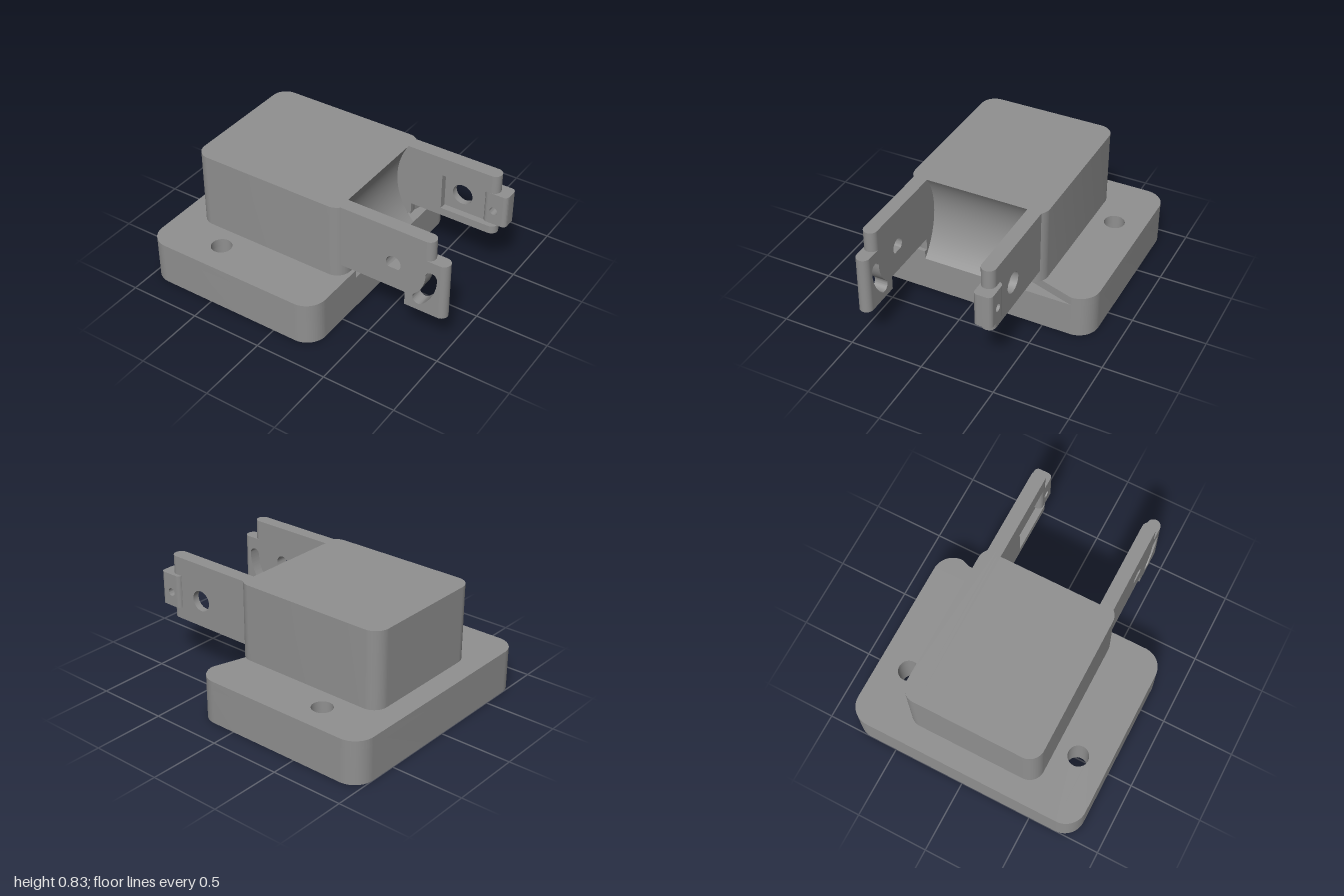
import * as THREE from 'three';
import { toCreasedNormals } from 'three/addons/utils/BufferGeometryUtils.js';

export function createModel() {
  const model = new THREE.Group();
  const grey = new THREE.MeshStandardMaterial({ color: 0x909090 });
  grey.name = 'grey';
  const PI = Math.PI;
  const pivot = { x: 0.635, y: 0.57 };

  function add(name, geometry) {
    const mesh = new THREE.Mesh(geometry, grey);
    mesh.name = name;
    model.add(mesh);
  }
  const extrude = (shape, depth) =>
    new THREE.ExtrudeGeometry(shape, { depth, bevelEnabled: false, curveSegments: 16 });
  // Plan outline (x, -z) raised from y0 to y1
  function upright(name, shape, y0, y1) {
    const g = extrude(shape, y1 - y0).rotateX(-PI / 2).translate(0, y0, 0);
    add(name, toCreasedNormals(g, 0.5));
  }
  // Side outline (x, y) running from z0 to z1
  function sideways(name, shape, z0, z1) {
    add(name, toCreasedNormals(extrude(shape, z1 - z0).translate(0, 0, z0), 0.5));
  }
  const polygon = (pts) => new THREE.Shape(pts.map(([x, y]) => new THREE.Vector2(x, y)));
  function circle(x, y, r) {
    const p = new THREE.Path();
    p.absarc(x, y, r, 0, PI * 2, false);
    return p;
  }
  function roundedRect(x0, x1, v0, v1, r) {
    const s = new THREE.Shape();
    s.absarc(x1 - r, v1 - r, r, 0, PI / 2);
    s.absarc(x0 + r, v1 - r, r, PI / 2, PI);
    s.absarc(x0 + r, v0 + r, r, PI, PI * 1.5);
    s.absarc(x1 - r, v0 + r, r, PI * 1.5, PI * 2);
    return s;
  }
  // Rounded vertical end of an arm
  function roundEnd(name, x, z, r, y0, y1, start = 0, sweep = PI) {
    const g = new THREE.CylinderGeometry(r, r, y1 - y0, 20, 1, false, start, sweep);
    add(name, g.translate(x, (y0 + y1) / 2, z));
  }

  // Base plate: full slab below, notched slab on top
  const screwHoles = () => [1, -1].map((s) => circle(-0.555, s * 0.625, 0.07));
  const lower = roundedRect(-1, 0.305, -0.83, 0.83, 0.14);
  lower.holes = screwHoles();
  upright('baseLower', lower, 0, 0.24);

  const upper = new THREE.Shape();
  upper.moveTo(0.305, 0.352);
  upper.absarc(0.165, 0.69, 0.14, 0, PI / 2);
  upper.absarc(-0.86, 0.69, 0.14, PI / 2, PI);
  upper.absarc(-0.86, -0.69, 0.14, PI, PI * 1.5);
  upper.absarc(0.165, -0.69, 0.14, PI * 1.5, PI * 2);
  upper.lineTo(0.305, -0.352);
  upper.lineTo(0.2, -0.352);
  upper.lineTo(0.2, 0.352);
  upper.holes = screwHoles();
  upright('baseUpper', upper, 0.24, 0.3);

  // Block core with the hollow cylindrical face around the pivot
  const R = 0.467;
  const aLow = PI + Math.asin((pivot.y - 0.24) / R);
  const aHigh = PI - Math.asin((0.83 - pivot.y) / R);
  const core = polygon([[-0.85, 0.83], [-0.85, 0.3], [0.2, 0.3], [0.2, 0.24]]);
  core.absarc(pivot.x, pivot.y, R, aLow, aHigh, true);
  sideways('blockCore', core, -0.352, 0.352);

  // Block cheeks with rounded corners
  for (const s of [1, -1]) {
    const cheek = new THREE.Shape();
    cheek.moveTo(-0.85, s * 0.352);
    cheek.lineTo(0.28, s * 0.352);
    cheek.absarc(0.18, s * 0.375, 0.1, 0, s * PI / 2, s < 0);
    cheek.absarc(-0.75, s * 0.375, 0.1, s * PI / 2, s * PI, s < 0);
    upright('blockCheek', cheek, 0.3, 0.83);
  }

  // Front arm with drop-shaped hole, curved slot and hanging lug
  const frontArm = polygon([[0.24, 0.385], [0.72, 0.385], [0.72, 0.29], [0.955, 0.29],
    [0.955, 0.69], [0.855, 0.69], [0.855, 0.83], [0.24, 0.83]]);
  const drop = new THREE.Path();
  drop.moveTo(pivot.x, pivot.y - 0.073);
  drop.absarc(pivot.x, pivot.y, 0.052, -PI / 4, PI * 1.25, false);
  drop.closePath();
  const slot = new THREE.Path();
  const sr = 0.265, w = 0.04, a = 0.82;
  slot.absarc(pivot.x, pivot.y, sr + w, 0, -a, true);
  slot.absarc(pivot.x + sr * Math.cos(a), pivot.y - sr * Math.sin(a), w, -a, -a - PI, true);
  slot.absarc(pivot.x, pivot.y, sr - w, -a, 0, false);
  slot.absarc(pivot.x + sr, pivot.y, w, PI, 0, true);
  frontArm.holes = [drop, slot];
  sideways('frontArm', frontArm, 0.352, 0.444);
  roundEnd('frontArmEnd', 0.855, 0.398, 0.046, 0.69, 0.83);
  roundEnd('frontLugEnd', 0.955, 0.398, 0.046, 0.29, 0.69);

  // Back arm: pierced outer layer and inner layer with an open pocket
  const outer = polygon([[0.24, 0.385], [0.855, 0.385], [0.855, 0.83], [0.24, 0.83]]);
  outer.holes = [circle(pivot.x, pivot.y, 0.072)];
  sideways('backArmOuter', outer, -0.448, -0.4);
  const inner = polygon([[0.24, 0.385], [0.855, 0.385], [0.855, 0.44], [0.505, 0.44],
    [0.505, 0.7], [0.855, 0.7], [0.855, 0.83], [0.24, 0.83]]);
  sideways('backArmInner', inner, -0.4, -0.352);
  roundEnd('backArmEndTop', 0.855, -0.4, 0.048, 0.7, 0.83);
  roundEnd('backArmEndBottom', 0.855, -0.4, 0.048, 0.385, 0.44);
  roundEnd('backArmEndMiddle', 0.855, -0.4, 0.048, 0.44, 0.47, PI / 2, PI / 2);

  // Back lug: drilled middle between two rounded edges
  const lug = polygon([[0.84, 0.47], [0.945, 0.47], [0.945, 0.7], [0.84, 0.7]]);
  lug.holes = [circle(0.885, 0.57, 0.027)];
  sideways('backLug', lug, -0.474, -0.352);
  for (const [x, d] of [[0.84, -1], [0.945, 1]]) {
    const edge = new THREE.Shape();
    edge.moveTo(x, 0.352);
    edge.absarc(x, 0.382, 0.03, -PI / 2, d > 0 ? 0 : -PI, d < 0);
    edge.absarc(x, 0.444, 0.03, d > 0 ? 0 : PI, PI / 2, d < 0);
    edge.closePath();
    upright('backLugEdge', edge, 0.47, 0.7);
  }
  return model;
}
